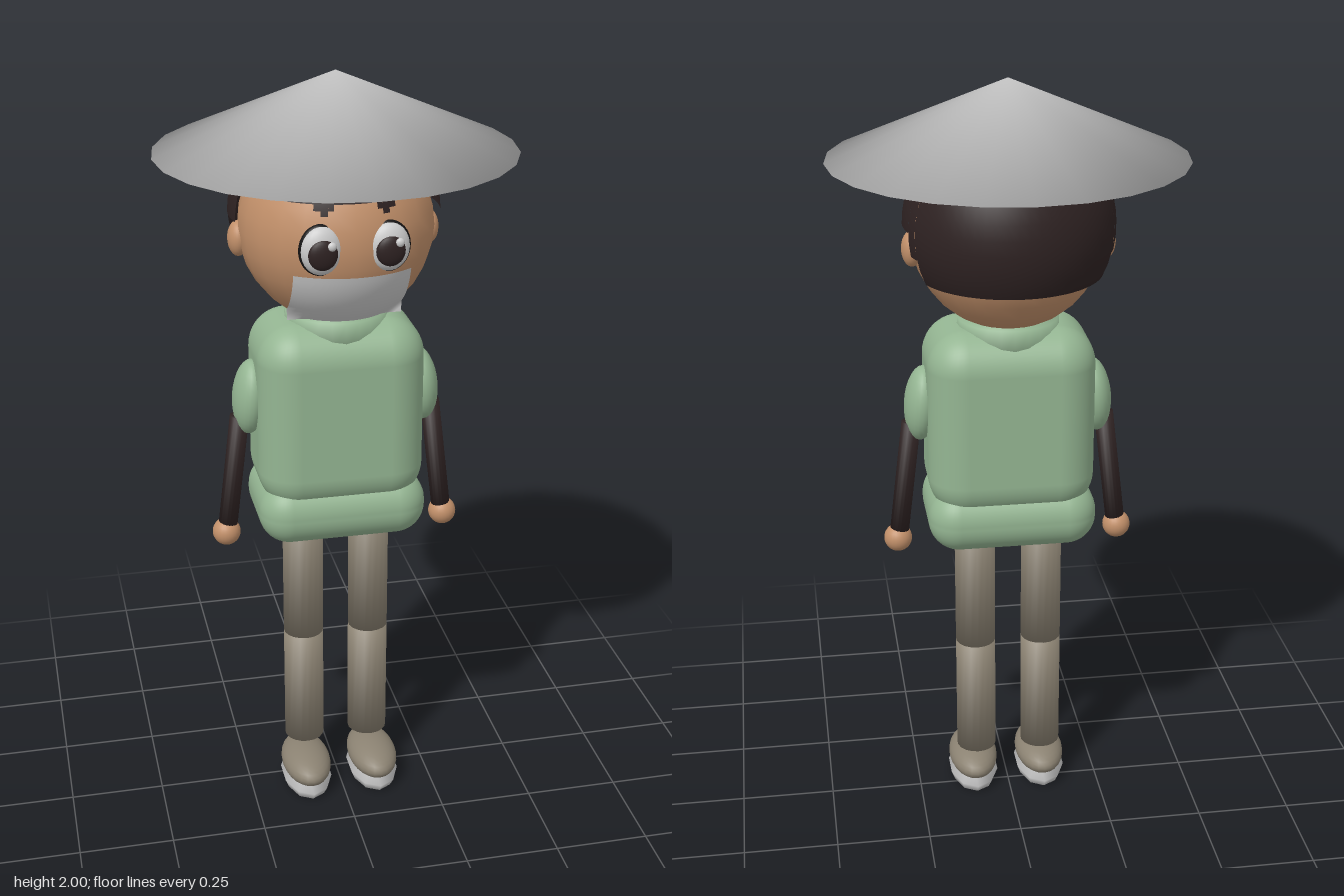
import * as THREE from 'three';
import { RoundedBoxGeometry } from 'three/addons/geometries/RoundedBoxGeometry.js';

function makeMaterial(name, color, side = THREE.FrontSide) {
  const m = new THREE.MeshStandardMaterial({ color, side });
  m.name = name;
  return m;
}

// Shares one averaged normal between the walls and caps that meet at a corner
function soften(geo) {
  const p = geo.attributes.position, n = geo.attributes.normal;
  const groups = new Map();
  for (let i = 0; i < p.count; i++) {
    const key = [p.getX(i), p.getY(i), p.getZ(i)].map(v => Math.round(v * 1e4)).join();
    if (!groups.has(key)) groups.set(key, { ids: [], normals: [] });
    const g = groups.get(key), v = new THREE.Vector3().fromBufferAttribute(n, i);
    g.ids.push(i);
    if (!g.normals.some(o => o.distanceTo(v) < 0.01)) g.normals.push(v);
  }
  for (const { ids, normals } of groups.values()) {
    const sum = normals.reduce((a, b) => a.add(b), new THREE.Vector3()).normalize();
    ids.forEach(i => n.setXYZ(i, sum.x, sum.y, sum.z));
  }
  return geo;
}

export function createModel() {
  const model = new THREE.Group();
  const straw = makeMaterial('hat grey', 0xc6c6c6);
  const white = makeMaterial('white', 0xcccccc, THREE.DoubleSide);
  const skin = makeMaterial('skin', 0xc2906a);
  const dark = makeMaterial('dark brown', 0x2e2222, THREE.DoubleSide);
  const black = makeMaterial('black', 0x141212);
  const green = makeMaterial('shirt green', 0x94b592);
  const cloth = makeMaterial('trouser taupe', 0x8b8272);

  const add = (name, geo, mat, x, y, z, parent = model) => {
    const mesh = new THREE.Mesh(geo, mat);
    mesh.name = name;
    mesh.position.set(x, y, z);
    parent.add(mesh);
    return mesh;
  };
  const ball = (name, mat, x, y, z, rx, ry = rx, rz = rx) => {
    const mesh = add(name, new THREE.SphereGeometry(1, 24, 16), mat, x, y, z);
    mesh.scale.set(rx, ry, rz);
    return mesh;
  };
  // Cylinder between two points
  const rod = (name, mat, a, b, r) => {
    const d = new THREE.Vector3().subVectors(b, a);
    const geo = soften(new THREE.CylinderGeometry(r, r, d.length(), 18));
    const mid = a.clone().lerp(b, 0.5);
    const mesh = add(name, geo, mat, mid.x, mid.y, mid.z);
    mesh.quaternion.setFromUnitVectors(new THREE.Vector3(0, 1, 0), d.normalize());
    return mesh;
  };

  // Hat
  add('hat', soften(new THREE.ConeGeometry(0.45, 0.195, 24)), straw, 0, 1.9025, 0);

  // Head
  ball('head', skin, 0, 1.62, 0, 0.245);
  ball('mouth', black, 0.008, 1.392, 0.09, 0.007);

  // Hair: one shell in bands, each [start angle from the front, end angle, hem height]
  const hair = new THREE.Group();
  hair.name = 'hair';
  model.add(hair);
  const hairY = 1.645, hairR = 0.265;
  const band = (from, to, hem) => {
    const rad = THREE.MathUtils.degToRad;
    const geo = new THREE.SphereGeometry(hairR, Math.max(2, Math.ceil((to - from) / 6)), 14,
      Math.PI / 2 + rad(from), rad(to - from), 0, Math.acos((hem - hairY) / hairR));
    add('hairBand', geo, dark, 0, hairY, -0.02, hair);
  };
  band(-77, 77, 1.735);
  band(113, 247, 1.525);
  for (const [from, to, hem] of [[77, 105, 1.65], [105, 113, 1.59], [12, 15, 1.72], [15, 19, 1.708], [19, 23, 1.72]]) {
    band(from, to, hem);
    band(-to, -from, hem);
  }

  // Face mask: a rectangle bent around the face
  const mask = new THREE.PlaneGeometry(0.29, 0.145, 16, 10);
  const mp = mask.attributes.position;
  for (let i = 0; i < mp.count; i++) {
    const x = mp.getX(i), y = mp.getY(i) - 0.135;
    mp.setXYZ(i, x, y, Math.sqrt(Math.max(0.252 ** 2 - x * x - y * y, 0.011)));
  }
  mask.computeVertexNormals();
  add('faceMask', mask, white, 0, 1.62, 0);

  // Torso
  add('collar', soften(new THREE.CylinderGeometry(0.13, 0.135, 0.08, 24)), green, 0, 1.36, 0);
  add('torso', new RoundedBoxGeometry(0.432, 0.5, 0.31, 6, 0.1), green, 0, 1.135, 0);
  add('hips', new RoundedBoxGeometry(0.44, 0.17, 0.316, 6, 0.08), green, 0, 0.875, 0);

  for (const s of [-1, 1]) {
    const side = s > 0 ? 'left' : 'right';
    const at = (x, y, z = 0) => new THREE.Vector3(s * x, y, z);

    // Eye
    const ex = s * 0.082;
    ball(side + 'EyeRim', black, ex, 1.625, 0.218, 0.055, 0.064, 0.023);
    ball(side + 'EyeWhite', white, ex, 1.625, 0.224, 0.051, 0.06, 0.028);
    ball(side + 'Pupil', dark, ex, 1.62, 0.244, 0.036, 0.038, 0.015);
    ball(side + 'EyeGlint', white, ex + 0.02, 1.642, 0.253, 0.011, 0.011, 0.008);
    ball(side + 'Ear', skin, s * 0.243, 1.59, -0.02, 0.026, 0.045, 0.036);

    // Arm
    ball(side + 'Sleeve', green, s * 0.225, 1.172, 0, 0.045, 0.1, 0.07).rotation.z = s * 0.09;
    rod(side + 'Arm', dark, at(0.253, 1.12), at(0.292, 0.8), 0.025);
    ball(side + 'Hand', skin, s * 0.295, 0.79, 0, 0.037);

    // Leg and shoe
    rod(side + 'Shin', cloth, at(0.09, 0.13), at(0.09, 0.465), 0.054);
    rod(side + 'Thigh', cloth, at(0.09, 0.465), at(0.09, 0.82), 0.054);
    ball(side + 'Shoe', cloth, s * 0.095, 0.066, 0.045, 0.067, 0.045, 0.12);
    const sole = add(side + 'Sole', soften(new THREE.CylinderGeometry(1, 0.85, 0.026, 10)), white, s * 0.095, 0.013, 0.045);
    sole.scale.set(0.069, 1, 0.12);
  }
  return model;
}
